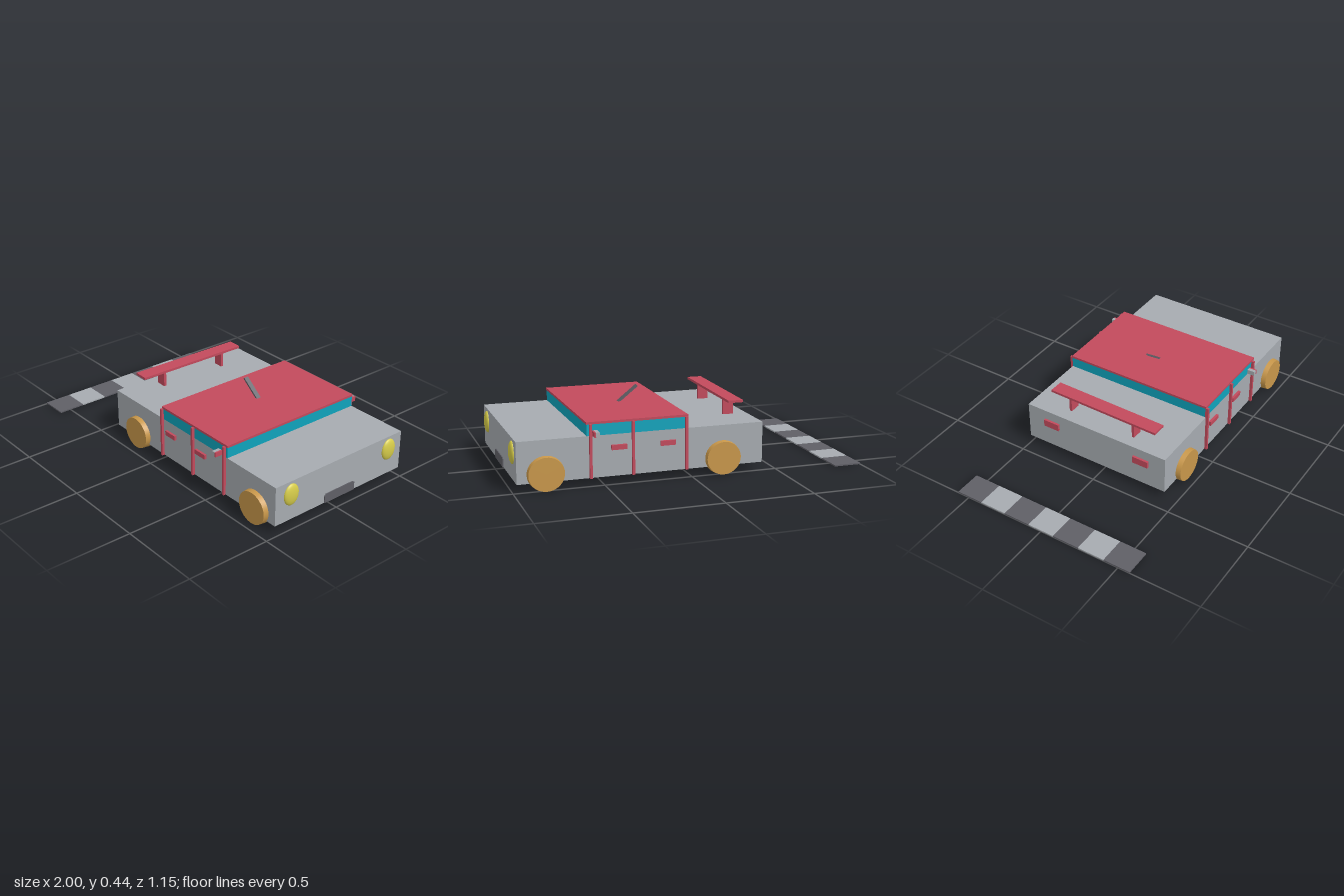
import * as THREE from 'three';

const mat = (name, color, extra = {}) => {
  const m = new THREE.MeshStandardMaterial({ color, ...extra });
  m.name = name;
  return m;
};

export function createModel() {
  const grey = mat('bodyGrey', 0xa6abb0);
  const red = mat('trimRed', 0xc24a5c);
  const cyan = mat('glassCyan', 0x0fa3bb);
  const tan = mat('wheelTan', 0xc8974a);
  const yellow = mat('lampYellow', 0xd6cc4a);
  const dark = mat('darkGrey', 0x5f5f66);

  const model = new THREE.Group();
  model.name = 'car';

  // Box given by its limits on each axis
  const box = (name, material, [x0, x1], [y0, y1], [z0, z1], parent = model) => {
    const mesh = new THREE.Mesh(new THREE.BoxGeometry(x1 - x0, y1 - y0, z1 - z0), material);
    mesh.position.set((x0 + x1) / 2, (y0 + y1) / 2, (z0 + z1) / 2);
    mesh.name = name;
    parent.add(mesh);
    return mesh;
  };

  // Body, window band and roof
  const width = [-0.502, 0.426];
  box('body', grey, [-0.416, 0.98], [0.048, 0.28], width);
  box('windows', cyan, [0.028, 0.597], [0.28, 0.343], width);
  box('roof', red, [0.025, 0.6], [0.343, 0.356], [-0.503, 0.427]);

  // Door posts, handles and mirrors on both flanks
  const flanks = [
    { z: 0.426, s: 1, posts: [0.033, 0.311, 0.578], handles: [0.112, 0.378], mirror: 0.54, reach: 0.046 },
    { z: -0.502, s: -1, posts: [0.036, 0.341, 0.578], handles: [0.143, 0.42], mirror: 0.555, reach: 0.058 },
  ];
  for (const { z, s, posts, handles, mirror, reach } of flanks) {
    const out = (d) => [Math.min(z - s * 0.004, z + s * d), Math.max(z - s * 0.004, z + s * d)];
    for (const x of posts) box('doorPost', red, [x - 0.007, x + 0.007], [0.048, 0.345], out(0.016));
    for (const x of handles) box('doorHandle', red, [x - 0.043, x + 0.043], [0.195, 0.222], out(0.014));
    box('mirrorGlass', grey, [mirror - 0.015, mirror + 0.006], [0.283, 0.31], out(reach));
    box('mirrorBack', red, [mirror + 0.006, mirror + 0.015], [0.283, 0.31], out(reach));
  }

  // Wheels: slightly tapered discs, narrower outside
  const wheels = [
    [-0.197, 0.408, 0.456, 1], [0.828, 0.415, 0.456, 1],
    [-0.178, -0.53, -0.495, -1], [0.824, -0.53, -0.495, -1],
  ];
  for (const [x, z0, z1, s] of wheels) {
    const geo = new THREE.CylinderGeometry(0.093, 0.097, z1 - z0, 40);
    geo.rotateX(s * Math.PI / 2);
    const wheel = new THREE.Mesh(geo, tan);
    wheel.name = 'wheel';
    wheel.scale.x = 1.06;
    wheel.position.set(x, 0.097, (z0 + z1) / 2);
    model.add(wheel);
  }

  // Headlights and tail lights
  for (const z of [0.318, -0.405]) {
    const lamp = new THREE.Mesh(new THREE.SphereGeometry(1, 32, 20), yellow);
    lamp.name = 'headlight';
    lamp.scale.set(0.02, 0.064, 0.05);
    lamp.position.set(0.98, 0.201, z);
    model.add(lamp);
  }
  for (const z of [-0.335, 0.27]) {
    box('tailLight', red, [-0.43, -0.414], [0.18, 0.222], [z - 0.05, z + 0.05]);
  }

  // Front grille
  box('grille', dark, [0.975, 0.985], [0.048, 0.096], [-0.146, 0.075]);
  box('grilleTop', dark, [0.975, 0.985], [0.096, 0.103], [-0.137, 0.066]);

  // Rear wing, turned a little
  const wing = new THREE.Group();
  wing.name = 'rearWing';
  wing.position.set(-0.309, 0, -0.029);
  wing.rotation.y = -0.019;
  box('wingBlade', red, [-0.043, 0.043], [0.371, 0.385], [-0.354, 0.354], wing);
  for (const z of [0.201, -0.229]) {
    box('wingPost', red, [-0.031, 0.031], [0.278, 0.372], [z - 0.008, z + 0.008], wing);
  }
  model.add(wing);

  // Leaning roof aerial
  const aerial = new THREE.Mesh(new THREE.BoxGeometry(0.145, 0.01, 0.028), dark);
  aerial.name = 'aerial';
  aerial.position.set(0.237, 0.396, -0.058);
  aerial.rotation.z = -Math.atan2(0.088, 0.112);
  model.add(aerial);

  // Striped line on the ground
  const step = 1.148 / 7;
  for (let i = 0; i < 7; i++) {
    const z = -0.575 + i * step;
    box('groundStripe', i % 2 ? grey : dark, [-1, -0.838], [0, 0.008], [z, z + step]);
  }
  return model;
}
